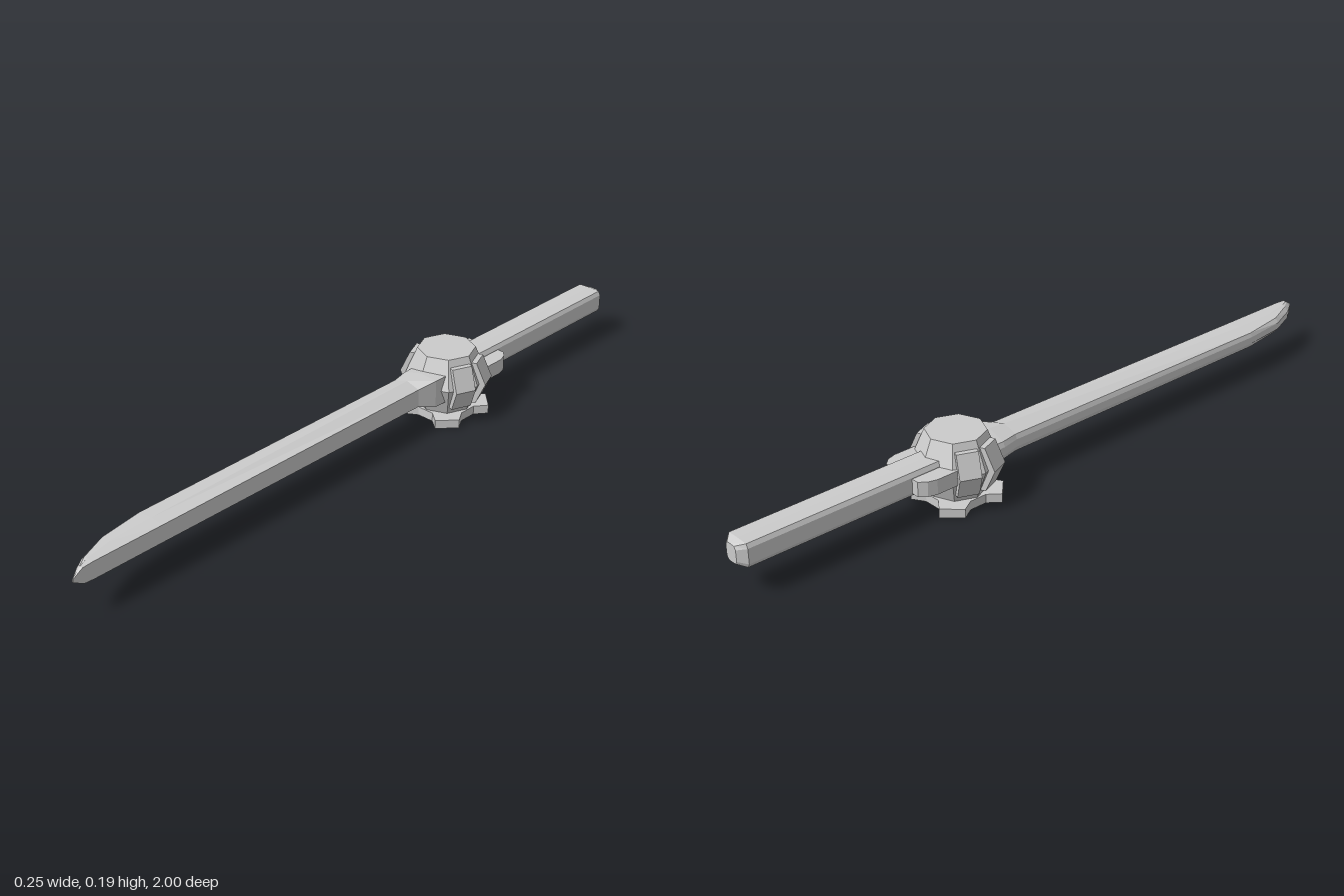
import * as THREE from 'three';

const HUB_Z = -0.33;
const MID_Y = 0.109;
const material = new THREE.MeshStandardMaterial({ color: 0xcccccc, flatShading: true });

function part(name, geometry, x = 0, y = 0, z = 0) {
  const mesh = new THREE.Mesh(geometry, material);
  mesh.name = name;
  mesh.position.set(x, y, z);
  return mesh;
}

// Skin counter-clockwise [x, y] sections placed at rising z, with capped ends
function loft(stations) {
  const n = stations[0].section.length;
  const positions = [];
  const index = [];
  for (const { z, section } of stations) {
    for (const [x, y] of section) positions.push(x, y, z);
  }
  for (let i = 0; i < stations.length - 1; i++) {
    for (let j = 0; j < n; j++) {
      const a = i * n + j, b = i * n + (j + 1) % n;
      index.push(a, b, b + n, a, b + n, a + n);
    }
  }
  const last = (stations.length - 1) * n;
  for (let j = 1; j < n - 1; j++) {
    index.push(0, j + 1, j, last, last + j, last + j + 1);
  }
  const geometry = new THREE.BufferGeometry();
  geometry.setAttribute('position', new THREE.Float32BufferAttribute(positions, 3));
  geometry.setIndex(index);
  geometry.computeVertexNormals();
  return geometry;
}

// Extrude an outline by a thickness
function slab(points, depth) {
  const shape = new THREE.Shape(points.map(([x, y]) => new THREE.Vector2(x, y)));
  return new THREE.ExtrudeGeometry(shape, { depth, bevelEnabled: false });
}

// Blade section: flat spine on +x, ridges on both faces, bevelled cutting edge on -x
function bladeSection(spine, spineH, ridge, ridgeH, edge, edgeH, bevel) {
  return [
    [spine, -spineH], [spine, spineH], [ridge, ridgeH], [edge + bevel, edgeH],
    [edge, edgeH * 0.45], [edge, -edgeH * 0.45], [edge + bevel, -edgeH], [ridge, -ridgeH],
  ];
}

function makeBlade() {
  // z, spine x, spine half height, ridge x, ridge half height, edge x, edge half height, bevel
  const rows = [
    [-0.30, 0.062, 0.040, 0.000, 0.042, -0.062, 0.025, 0.006],
    [-0.22, 0.060, 0.040, 0.000, 0.042, -0.060, 0.025, 0.006],
    [-0.17, 0.042, 0.026, 0.000, 0.038, -0.049, 0.024, 0.005],
    [0.73, 0.042, 0.024, 0.000, 0.026, -0.048, 0.022, 0.005],
    [0.86, 0.042, 0.024, 0.004, 0.024, -0.034, 0.022, 0.010],
    [0.94, 0.042, 0.024, 0.020, 0.024, -0.002, 0.022, 0.012],
    [0.97, 0.042, 0.022, 0.033, 0.022, 0.018, 0.020, 0.012],
    [1.00, 0.042, 0.004, 0.041, 0.004, 0.039, 0.004, 0.001],
  ];
  return loft(rows.map(([z, ...dims]) => ({ z, section: bladeSection(...dims) })));
}

function makeHandle() {
  // z, half width, half height; long sides have a narrow bevel
  const rows = [
    [-1.00, 0.020, 0.024],
    [-0.98, 0.041, 0.032],
    [-0.38, 0.041, 0.032],
  ];
  return loft(rows.map(([z, w, h]) => {
    const b = w - 0.006, s = h * 0.65;
    return {
      z,
      section: [
        [w, -s], [w, s], [b, h], [0, h + 0.001], [-b, h],
        [-w, s], [-w, -s], [-b, -h], [0, -h - 0.001], [b, -h],
      ],
    };
  }));
}

export function createModel() {
  const group = new THREE.Group();

  // Eight-sided hub with flat top and bottom
  const hubProfile = [[0, 0.024], [0.078, 0.024], [0.114, MID_Y], [0.08, 0.19], [0, 0.19]];
  const hub = new THREE.LatheGeometry(hubProfile.map(([r, y]) => new THREE.Vector2(r, y)), 8);
  group.add(part('hub', hub, 0, 0, HUB_Z));

  // Four angled ribs strapped on the side faces of the hub
  const ribProfile = [[0.06, 0.048], [0.096, 0.048], [0.123, MID_Y], [0.096, 0.17], [0.06, 0.17]];
  for (const turn of [1, 7, 9, 15]) {
    const rib = slab(ribProfile, 0.058).translate(0, 0, -0.029);
    const mesh = part('sideRib', rib, 0, 0, HUB_Z);
    mesh.rotation.y = turn * Math.PI / 8;
    group.add(mesh);
  }

  // Lobed foot plate, notched on all four sides
  const quarter = [[0.108, 0.058], [0.06, 0.103], [0.025, 0.082], [-0.025, 0.082]];
  const outline = [];
  for (let i = 0; i < 4; i++) {
    for (const [x, y] of quarter) {
      outline.push([[x, y], [-y, x], [-x, -y], [y, -x]][i]);
    }
  }
  group.add(part('footPlate', slab(outline, 0.025).rotateX(-Math.PI / 2), 0, 0, HUB_Z));

  // Pair of prongs hugging the handle behind the hub
  const prong = [[0.03, 0.06], [0.085, 0.06], [0.085, 0.13], [0.078, 0.155], [0.062, 0.174], [0.03, 0.174]];
  for (const side of [1, -1]) {
    const geometry = slab(prong.map(([x, y]) => [side * x, y]), 0.042).rotateX(-Math.PI / 2);
    group.add(part('rearProng', geometry, 0, MID_Y - 0.021, HUB_Z));
  }

  group.add(part('blade', makeBlade(), 0, MID_Y, 0));
  group.add(part('handle', makeHandle(), 0, MID_Y + 0.003, 0));
  return group;
}
